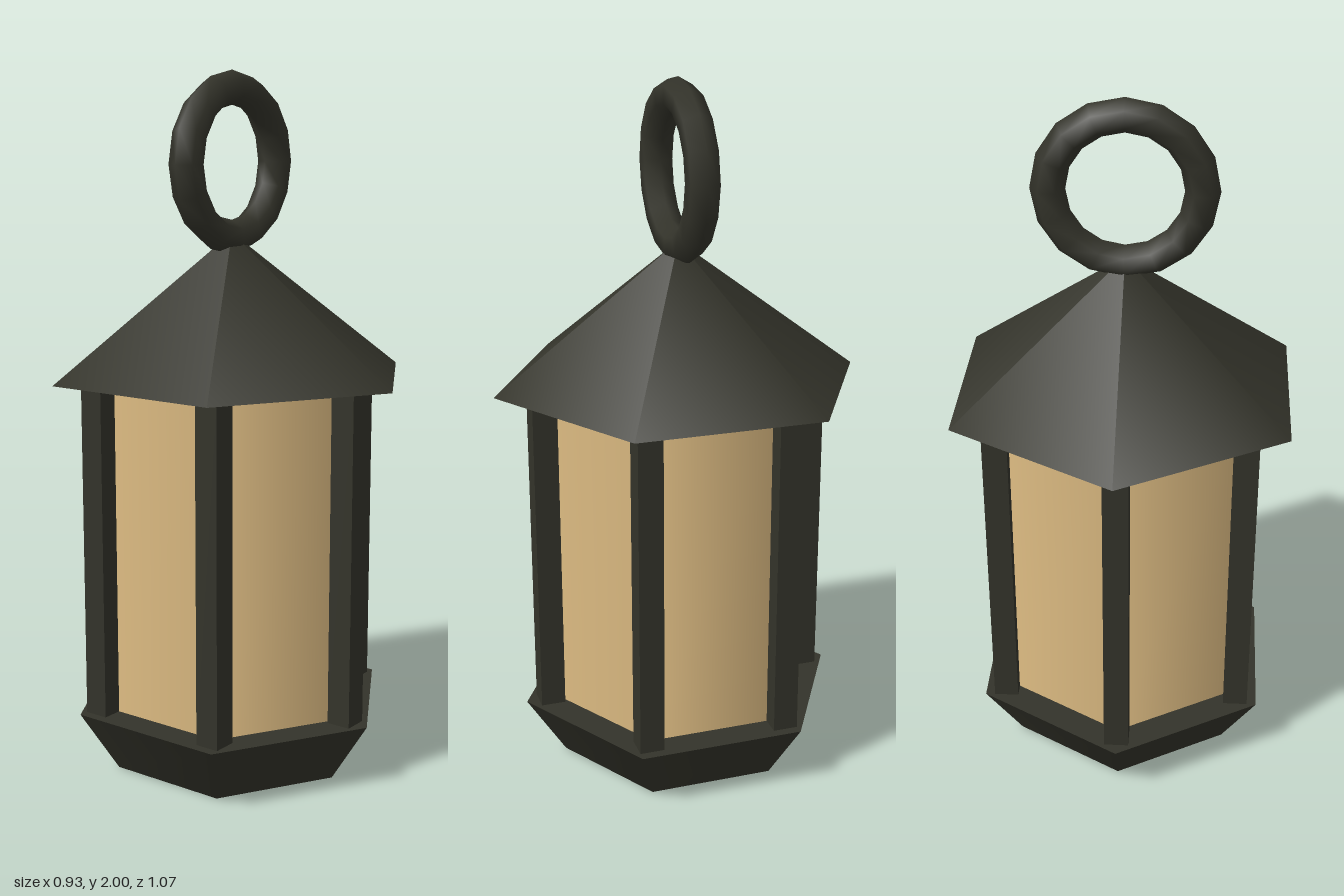
import * as THREE from 'three';

export function createModel() {
  const model = new THREE.Group();
  model.name = 'lantern';

  const iron = new THREE.MeshStandardMaterial({ color: 0x33332a });
  iron.name = 'dark iron';
  const amber = new THREE.MeshStandardMaterial({ color: 0xe0be84 });
  amber.name = 'warm glass';

  function add(name, geometry, material, x, y, z) {
    const mesh = new THREE.Mesh(geometry, material);
    mesh.name = name;
    mesh.position.set(x, y, z);
    model.add(mesh);
    return mesh;
  }

  const baseTop = 0.18, eaves = 1.145, apex = 1.55;
  const bodyHeight = eaves - baseTop;
  const bodyMiddle = (eaves + baseTop) / 2;

  // Hexagonal base, flaring upward
  add('base', new THREE.CylinderGeometry(0.475, 0.36, baseTop, 6), iron, 0, baseTop / 2, 0);

  // Hexagonal glass body with smooth shading
  add('glass', new THREE.CylinderGeometry(0.375, 0.375, bodyHeight, 6), amber, 0, bodyMiddle, 0);

  // Six square corner posts
  const postGeometry = new THREE.BoxGeometry(0.071, bodyHeight, 0.071);
  for (let i = 0; i < 6; i++) {
    const a = (i * Math.PI) / 3;
    add('cornerPost' + (i + 1), postGeometry, iron, 0.402 * Math.sin(a), bodyMiddle, 0.402 * Math.cos(a));
  }

  // Hexagonal pointed roof
  add('roof', new THREE.ConeGeometry(0.537, apex - eaves, 6), iron, 0, (apex + eaves) / 2, 0);

  // Hanging ring
  add('hangingRing', new THREE.TorusGeometry(0.207, 0.048, 6, 16), iron, 0, 1.745, 0);

  return model;
}
